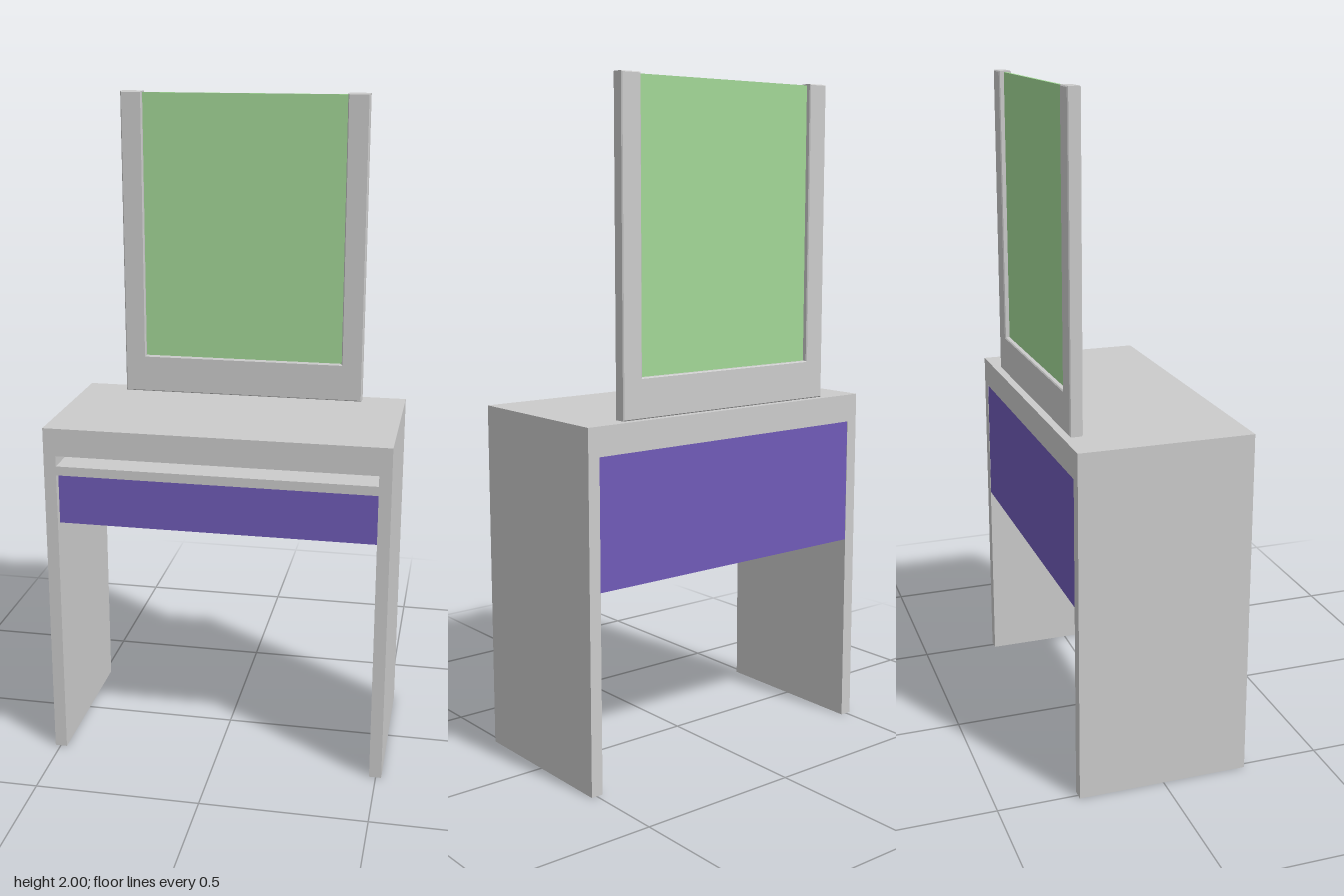
import * as THREE from 'three';

export function createModel() {
  const root = new THREE.Group();
  const grey = new THREE.MeshStandardMaterial({ color: 0xcccccc });
  const purple = new THREE.MeshStandardMaterial({ color: 0x705bb8 });
  const green = new THREE.MeshStandardMaterial({ color: 0xa3d897 });

  // Box given by its minimum and maximum corners
  const box = (name, material, [x0, y0, z0], [x1, y1, z1]) => {
    const mesh = new THREE.Mesh(new THREE.BoxGeometry(x1 - x0, y1 - y0, z1 - z0), material);
    mesh.position.set((x0 + x1) / 2, (y0 + y1) / 2, (z0 + z1) / 2);
    mesh.name = name;
    root.add(mesh);
  };

  const outer = 0.517, inner = 0.48, depth = 0.259;
  const topUnder = 0.97, height = 1.055;

  // Carcass: one solid arch of two side panels and the thick top
  const arch = new THREE.Shape([
    [-outer, 0], [-inner, 0], [-inner, topUnder], [inner, topUnder],
    [inner, 0], [outer, 0], [outer, height], [-outer, height],
  ].map(([x, y]) => new THREE.Vector2(x, y)));
  const carcass = new THREE.Mesh(
    new THREE.ExtrudeGeometry(arch, { depth: depth * 2, bevelEnabled: false }), grey);
  carcass.position.z = -depth;
  carcass.name = 'carcass';
  root.add(carcass);

  // Shelf below the slot, back panel, and the recessed drawer
  const backFront = -depth + 0.03;
  box('shelf', grey, [-inner, 0.91, backFront], [inner, 0.938, depth]);
  box('backPanel', purple, [-inner, 0.588, -depth + 0.001], [inner, topUnder, backFront]);
  box('drawer', purple, [-inner, 0.752, backFront], [inner, 0.91, 0.238]);

  // Mirror frame: U shape, open at the top, with slightly softened edges
  const b = 0.003;
  const uShape = new THREE.Shape([
    [-0.382 + b, height + b], [0.382 - b, height + b], [0.382 - b, 2 - b], [0.316 + b, 2 - b],
    [0.316 + b, 1.172 - b], [-0.316 - b, 1.172 - b], [-0.316 - b, 2 - b], [-0.382 + b, 2 - b],
  ].map(([x, y]) => new THREE.Vector2(x, y)));
  const frame = new THREE.Mesh(new THREE.ExtrudeGeometry(uShape, {
    depth: 0.038 - 2 * b, bevelThickness: b, bevelSize: b, bevelSegments: 1,
  }), grey);
  frame.position.z = -0.238 + b;
  frame.name = 'mirrorFrame';
  root.add(frame);

  // Mirror pane held in the frame
  box('mirrorPane', green, [-0.322, 1.166, -0.223], [0.322, 1.996, -0.214]);

  return root;
}
